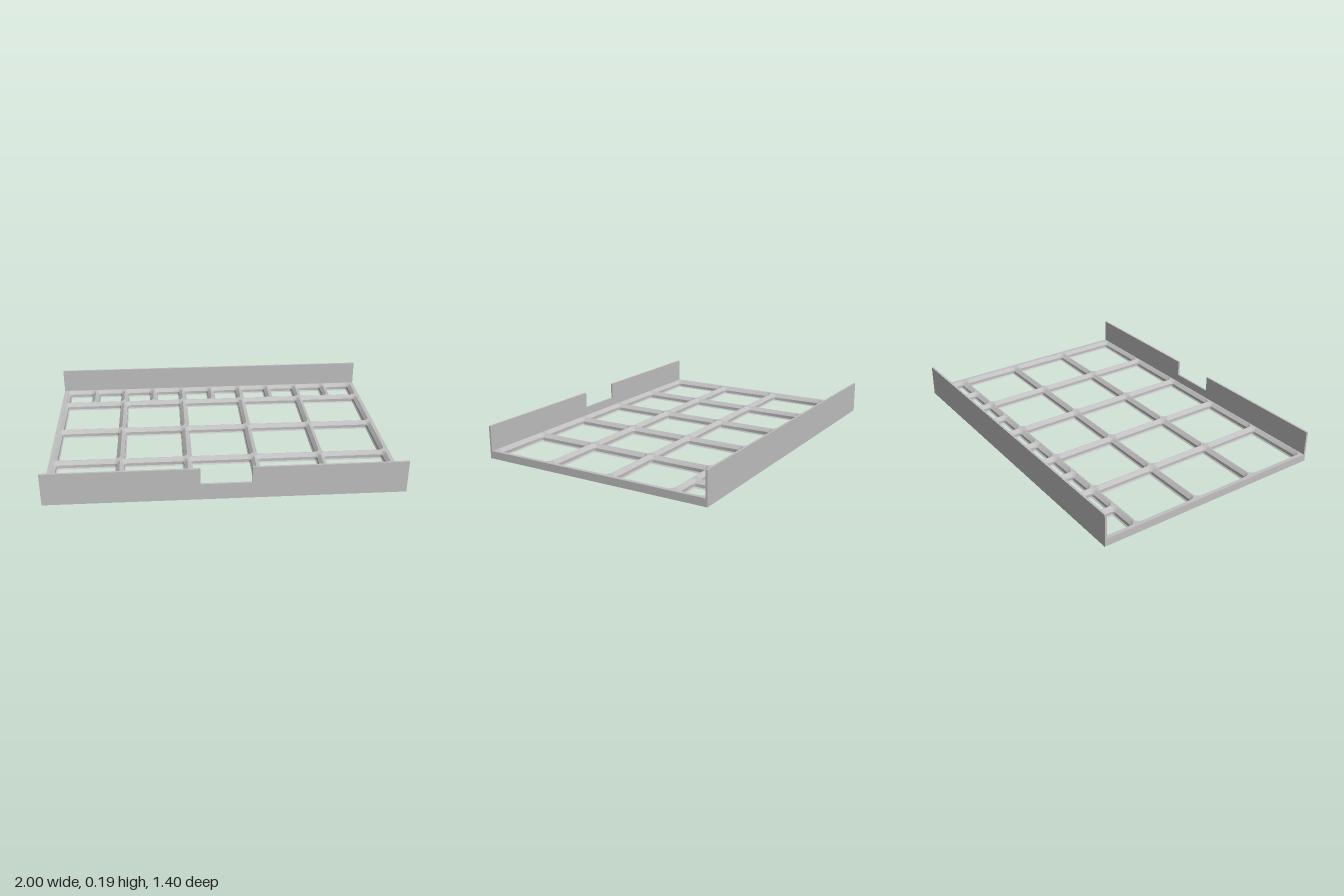
import * as THREE from 'three';
import { toCreasedNormals } from 'three/addons/utils/BufferGeometryUtils.js';

const W = 2, D = 1.4, H = 0.044, WALL = 0.012, WALL_H = 0.19;
const PITCH = 0.392, GAP = 0.002, RADIUS = 0.037;
// Socket profile from the rim down: [inset, height]
const PROFILE = [[0, H], [0.02, 0.024], [0.02, 0.0065], [0.0266, 0]];

// Rounded rectangle as [x, z] points around a cell
function loop(cell, inset) {
  const r = RADIUS - inset, half = cell.size / 2 - GAP - inset, n = 6, pts = [];
  for (let q = 0; q < 4; q++) {
    const mid = (q + 0.5) * Math.PI / 2;
    const cx = cell.x + Math.sign(Math.cos(mid)) * (half - r);
    const cz = cell.z + Math.sign(Math.sin(mid)) * (half - r);
    for (let i = 0; i <= n; i++) {
      const a = (q + i / n) * Math.PI / 2;
      pts.push([cx + r * Math.cos(a), cz + r * Math.sin(a)]);
    }
  }
  return pts;
}

// Inward-facing stepped sides of one socket
function socketGeometry(cell) {
  const pos = [], index = [];
  let n = 0;
  for (const [inset, y] of PROFILE) {
    const pts = loop(cell, inset);
    n = pts.length;
    for (const [x, z] of pts) pos.push(x, y, z);
  }
  for (let i = 0; i < PROFILE.length - 1; i++) {
    for (let k = 0; k < n; k++) {
      const a = i * n + k, b = i * n + (k + 1) % n, c = a + n, d = b + n;
      index.push(a, c, b, b, c, d);
    }
  }
  const g = new THREE.BufferGeometry();
  g.setAttribute('position', new THREE.Float32BufferAttribute(pos, 3));
  g.setIndex(index);
  return toCreasedNormals(g, 0.5);
}

// Flat face of the grid with a hole for each socket; side is 1 for top, -1 for bottom
function gridFace(cells, inset, side) {
  const x = W / 2, z = D / 2 - WALL;
  const shape = new THREE.Shape([[-x, -z], [x, -z], [x, z], [-x, z]].map(p => new THREE.Vector2(...p)));
  for (const cell of cells) {
    shape.holes.push(new THREE.Path(loop(cell, inset).map(p => new THREE.Vector2(p[0], -side * p[1]))));
  }
  return new THREE.ShapeGeometry(shape).rotateX(-side * Math.PI / 2);
}

// Upright wall, with an optional notch in its upper edge
function wallGeometry(notched) {
  const x = W / 2, n = 0.142, ny = 0.095;
  const pts = [[-x, 0], [x, 0], [x, WALL_H]];
  if (notched) pts.push([n, WALL_H], [n, ny], [-n, ny], [-n, WALL_H]);
  pts.push([-x, WALL_H]);
  const shape = new THREE.Shape(pts.map(p => new THREE.Vector2(...p)));
  return new THREE.ExtrudeGeometry(shape, { depth: WALL, bevelEnabled: false });
}

export function createModel() {
  const group = new THREE.Group();
  const grey = new THREE.MeshStandardMaterial({ color: 0xc0c0c0 });
  grey.name = 'light grey';
  const add = (name, geometry, parent = group) => {
    const mesh = new THREE.Mesh(geometry, grey);
    mesh.name = name;
    parent.add(mesh);
    return mesh;
  };

  // Three rows of full cells, one row of half cells at the back
  const cells = [];
  const back = -PITCH * 1.75;
  for (let i = 0; i < 10; i++) {
    cells.push({ x: (i - 4.5) * PITCH / 2, z: back + PITCH / 4, size: PITCH / 2 });
  }
  for (let row = 0; row < 3; row++) {
    for (let i = 0; i < 5; i++) {
      cells.push({ x: (i - 2) * PITCH, z: back + PITCH * (row + 1), size: PITCH });
    }
  }

  // Grid plate
  const plate = new THREE.Group();
  plate.name = 'gridPlate';
  group.add(plate);
  cells.forEach(cell => add('socket', socketGeometry(cell), plate));
  add('gridTop', gridFace(cells, 0, 1), plate).position.y = H;
  add('gridBottom', gridFace(cells, PROFILE[3][0], -1), plate);
  for (const s of [-1, 1]) {
    const edge = add('sideEdge', new THREE.PlaneGeometry(D - 2 * WALL, H), plate);
    edge.rotation.y = s * Math.PI / 2;
    edge.position.set(s * W / 2, H / 2, 0);
  }

  // Front and back walls
  add('frontWall', wallGeometry(true)).position.z = D / 2 - WALL;
  add('backWall', wallGeometry(false)).position.z = -D / 2;
  return group;
}
